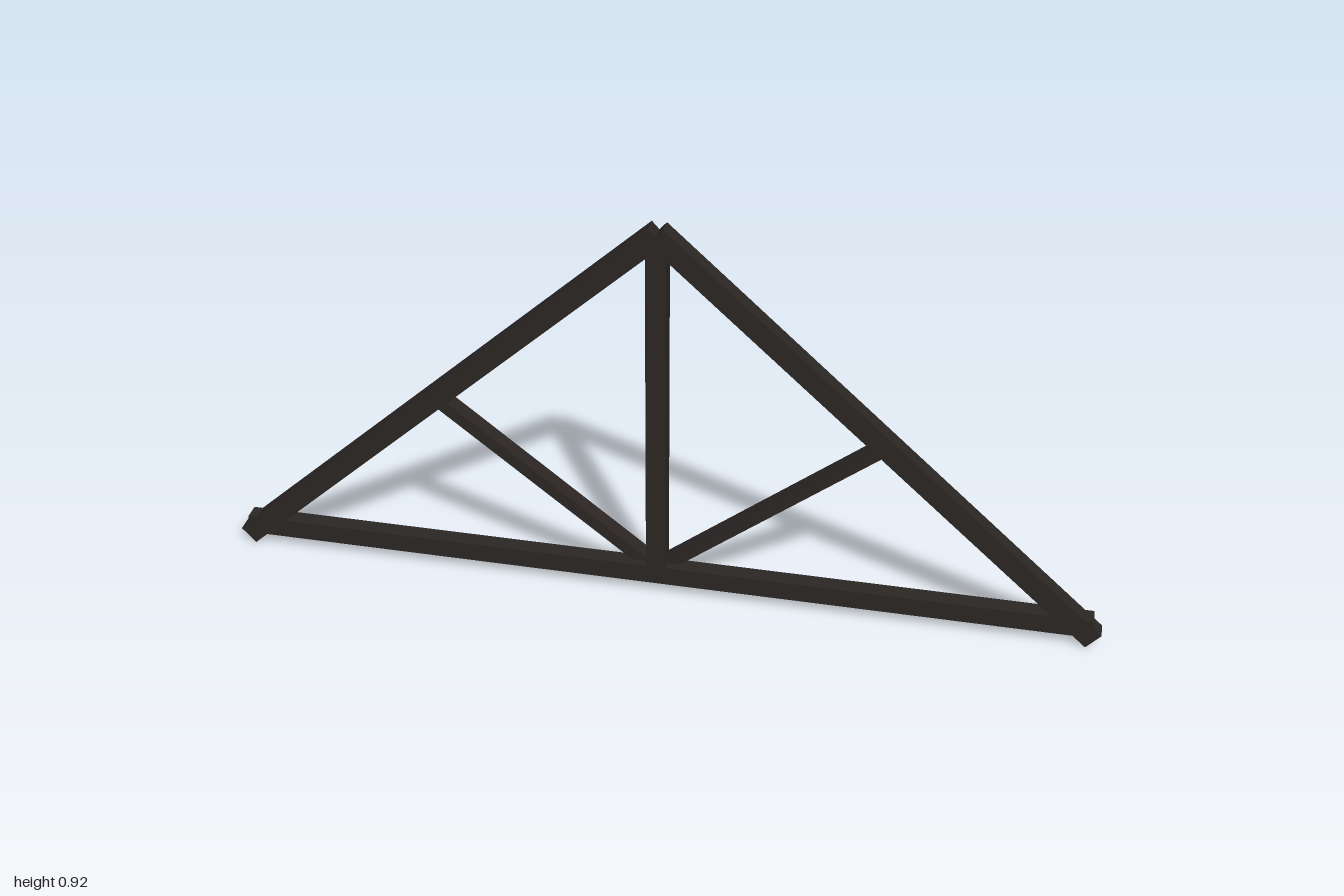
import * as THREE from 'three';

const DEPTH = 0.04;

export function createModel() {
  const group = new THREE.Group();
  const material = new THREE.MeshStandardMaterial({ color: 0x2b2624 });

  // Square-ended timber between two points in the truss plane
  function beam(name, x1, y1, x2, y2, width) {
    const length = Math.hypot(x2 - x1, y2 - y1);
    const mesh = new THREE.Mesh(new THREE.BoxGeometry(length, width, DEPTH), material);
    mesh.position.set((x1 + x2) / 2, (y1 + y2) / 2, 0);
    mesh.rotation.z = Math.atan2(y2 - y1, x2 - x1);
    mesh.name = name;
    group.add(mesh);
  }

  // Timber outlined by its corners, for ends cut at an angle
  function cutBeam(name, corners) {
    const shape = new THREE.Shape(corners.map(([x, y]) => new THREE.Vector2(x, y)));
    const geometry = new THREE.ExtrudeGeometry(shape, { depth: DEPTH, bevelEnabled: false });
    geometry.translate(0, 0, -DEPTH / 2);
    const mesh = new THREE.Mesh(geometry, material);
    mesh.name = name;
    group.add(mesh);
  }

  beam('bottomChord', -0.98, 0.05, 0.98, 0.05, 0.045);
  beam('kingPost', 0, 0.07, 0, 0.9, 0.045);

  for (const [side, s] of [['left', 1], ['right', -1]]) {
    // Sloping rafter
    beam(side + 'Rafter', s * 0.984, 0.018, 0, 0.907, 0.048);
    // Diagonal strut with a level foot, its head buried in the rafter
    cutBeam(side + 'Strut', [
      [s * 0.011, 0.087], [s * 0.055, 0.087], [s * 0.507, 0.44], [s * 0.49, 0.462],
    ]);
  }

  return group;
}
